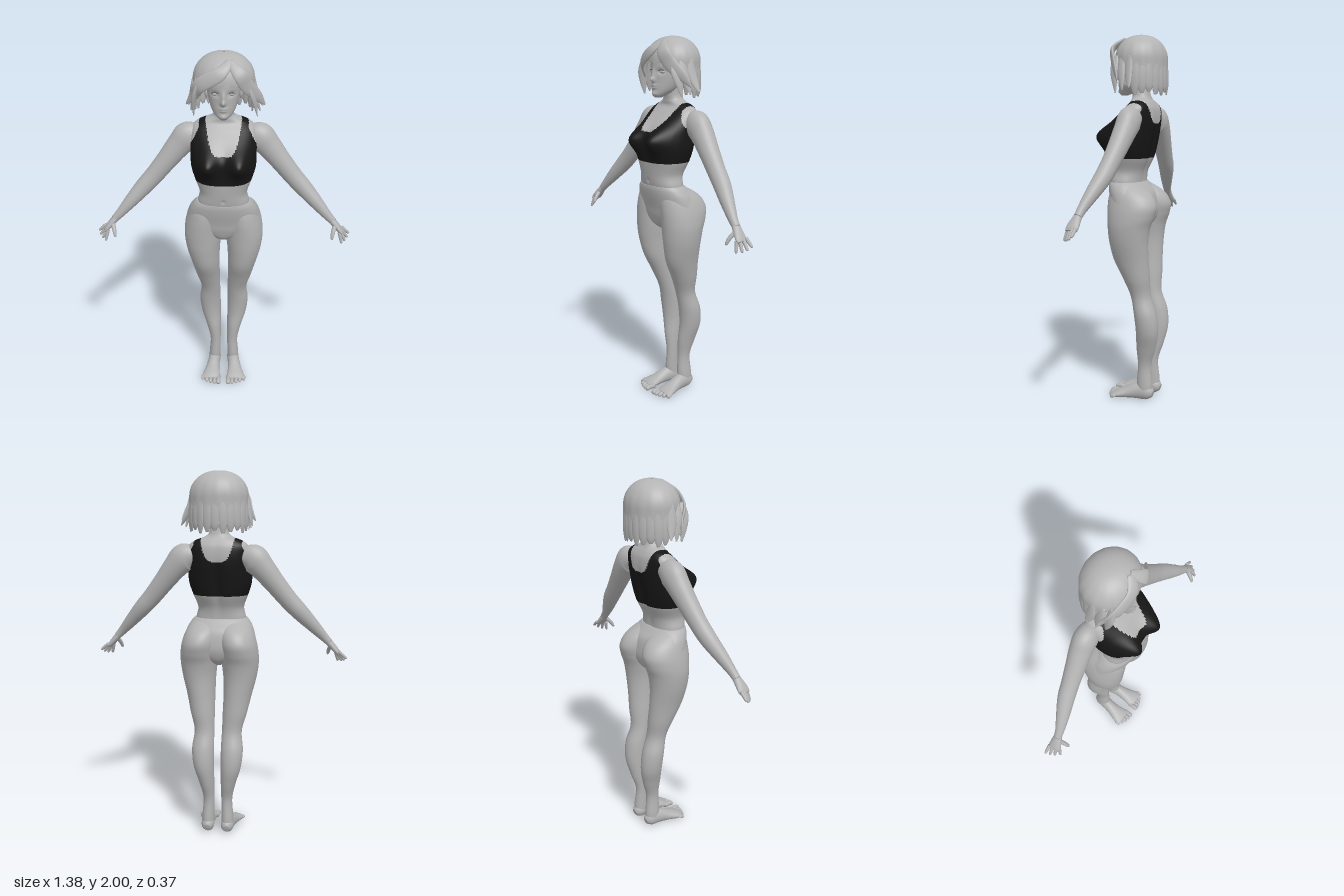
import * as THREE from 'three';

const mat = (name, color) => Object.assign(new THREE.MeshStandardMaterial({ color }), { name });

// Catmull-Rom resampling of sections with any number of channels
function resample(rows, n) {
  const out = [], last = rows.length - 1;
  for (let k = 0; k <= n; k++) {
    const f = (k / n) * last, i = Math.min(Math.floor(f), last - 1), t = f - i;
    const at = (j) => rows[Math.max(0, Math.min(last, j))];
    const [a, b, c, d] = [at(i - 1), at(i), at(i + 1), at(i + 2)];
    out.push(b.map((p, q) => p + 0.5 * t * (c[q] - a[q]
      + t * (2 * a[q] - 5 * p + 4 * c[q] - d[q] + t * (3 * (p - c[q]) + d[q] - a[q])))));
  }
  return out;
}

// Smooth skin over closed rings; pick() chooses a material per quad
function skin(rings, caps = true, pick = null) {
  const m = rings[0].length, n = rings.length, pos = rings.flat(), lists = [[], []];
  for (let i = 0; i < n - 1; i++) for (let j = 0; j < m; j++) {
    const a = i * m + j, b = i * m + (j + 1) % m, c = b + m, d = a + m;
    const mid = [0, 1, 2].map((q) => (pos[a][q] + pos[b][q] + pos[c][q] + pos[d][q]) / 4);
    lists[pick && pick(mid) ? 1 : 0].push(a, b, c, a, c, d);
  }
  if (caps) for (const [row, flip] of [[0, true], [n - 1, false]]) {
    const centre = [0, 1, 2].map((q) => rings[row].reduce((s, p) => s + p[q], 0) / m);
    const k = pos.push(centre) - 1;
    for (let j = 0; j < m; j++) {
      const a = row * m + j, b = row * m + (j + 1) % m;
      lists[0].push(k, flip ? b : a, flip ? a : b);
    }
  }
  const g = new THREE.BufferGeometry();
  g.setAttribute('position', new THREE.Float32BufferAttribute(pos.flat(), 3));
  g.setIndex([...lists[0], ...lists[1]]);
  if (pick) {
    g.addGroup(0, lists[0].length, 0);
    g.addGroup(lists[0].length, lists[1].length, 1);
  }
  g.computeVertexNormals();
  return g;
}

// Horizontal rings [y, cx, cz, rx, rz], bottom to top.
// Bumps [x, y, amount, sx, sy, side] push the front (1) or back (-1).
function loft(sections, { n = 60, m = 48, p = 2, bumps = [], pick = null } = {}) {
  const pow = (v) => Math.sign(v) * Math.abs(v) ** (2 / p);
  return skin(resample(sections, n).map(([y, cx, cz, rx, rz]) =>
    Array.from({ length: m }, (_, j) => {
      const a = (j / m) * Math.PI * 2, x = cx + rx * pow(Math.sin(a));
      let z = cz + rz * pow(Math.cos(a));
      for (const [bx, by, amp, sx, sy, side] of bumps) {
        const w = Math.min(1, Math.max(0, side * Math.cos(a)) * 2);
        z += side * amp * w * Math.exp(-(((x - bx) / sx) ** 2) - ((y - by) / sy) ** 2);
      }
      return [x, y, z];
    })), true, pick);
}

// Tapered tube through [x, y, z, ra, rb]; ra lies along ref, rb across it
function limb(points, ref = [0, 0, 1], n = 24, m = 20) {
  const pts = resample(points, n), v = pts.map((q) => new THREE.Vector3(q[0], q[1], q[2]));
  return skin(pts.map((q, i) => {
    const t = v[Math.min(n, i + 1)].clone().sub(v[Math.max(0, i - 1)]).normalize();
    const u = new THREE.Vector3(...ref).projectOnPlane(t).normalize();
    const b = t.clone().cross(u);
    return Array.from({ length: m }, (_, j) => {
      const a = (j / m) * Math.PI * 2;
      return v[i].clone().addScaledVector(u, q[3] * Math.cos(a)).addScaledVector(b, q[4] * Math.sin(a)).toArray();
    });
  }));
}

// Black top: band, scooped neckline and shoulder straps
function inTop([x, y, z]) {
  const ax = Math.abs(x);
  if (y < 1.35 || y > 1.668) return false;
  const outer = 0.128 + Math.max(0, 1.62 - y) * 0.5;
  const scoop = (z > -0.05 ? 1.51 : 1.535) + 0.13 * (ax / 0.092) ** 4;
  return ax < outer && y < scoop;
}

export function createModel() {
  const model = new THREE.Group();
  model.name = 'figure';
  const body = mat('body grey', 0xb2b2b2), black = mat('top black', 0x161616), dark = mat('lash grey', 0x4a4a4a);
  const hair = mat('hair grey', 0xb4b4b4);
  hair.side = THREE.DoubleSide;
  const add = (name, geo, material = body) => {
    const mesh = new THREE.Mesh(geo, material);
    mesh.name = name;
    model.add(mesh);
    return mesh;
  };
  const ball = (name, x, y, z, sx, sy, sz) => {
    const mesh = add(name, new THREE.SphereGeometry(1, 20, 14));
    mesh.position.set(x, y, z);
    mesh.scale.set(sx, sy, sz);
  };

  // Torso and neck, with the top as its own faces
  add('torsoAndTop', loft([
    [1.17, 0, 0.02, 0.125, 0.08], [1.22, 0, 0.03, 0.136, 0.087], [1.28, 0, 0.03, 0.126, 0.097],
    [1.35, 0, 0.017, 0.15, 0.116], [1.42, 0, 0.005, 0.17, 0.12], [1.5, 0, -0.01, 0.172, 0.12],
    [1.56, 0, -0.03, 0.17, 0.105], [1.61, 0, -0.05, 0.162, 0.08], [1.64, 0, -0.057, 0.13, 0.06],
    [1.665, 0, -0.05, 0.07, 0.051], [1.69, 0, -0.045, 0.05, 0.047], [1.75, 0, -0.035, 0.046, 0.045],
    [1.8, 0, -0.03, 0.045, 0.045],
  ], {
    n: 180, m: 144, p: 2.3, pick: inTop,
    bumps: [[0.085, 1.465, 0.078, 0.062, 0.068, 1], [-0.085, 1.465, 0.078, 0.062, 0.068, 1],
      [0, 1.25, -0.007, 0.008, 0.01, 1], [0, 1.4, -0.012, 0.025, 0.14, -1]],
  }), [body, black]);

  // Pelvis
  add('pelvis', loft([
    [0.97, 0, -0.02, 0.02, 0.05], [1, 0, -0.02, 0.08, 0.09], [1.05, 0, -0.02, 0.17, 0.11],
    [1.1, 0, -0.015, 0.195, 0.115], [1.16, 0, 0, 0.184, 0.115], [1.2, 0, 0.02, 0.163, 0.102],
    [1.222, 0, 0.03, 0.143, 0.092],
  ], { p: 2.2 }));

  // Head with brow, nose, lips and eye sockets
  add('head', loft([
    [1.685, 0, 0.053, 0.016, 0.018], [1.7, 0, 0.04, 0.036, 0.043], [1.73, 0, 0.015, 0.06, 0.068],
    [1.78, 0, -0.005, 0.077, 0.087], [1.84, 0, -0.02, 0.087, 0.104], [1.9, 0, -0.035, 0.088, 0.113],
    [1.95, 0, -0.045, 0.07, 0.09], [1.98, 0, -0.05, 0.03, 0.04],
  ], {
    n: 90, m: 96,
    bumps: [[0, 1.778, 0.022, 0.012, 0.015, 1], [0, 1.805, 0.012, 0.011, 0.025, 1],
      [0, 1.749, 0.008, 0.02, 0.007, 1], [0, 1.736, 0.007, 0.017, 0.006, 1], [0, 1.705, 0.006, 0.02, 0.012, 1],
      [0.04, 1.82, -0.011, 0.02, 0.014, 1], [-0.04, 1.82, -0.011, 0.02, 0.014, 1]],
  }));

  for (const s of [1, -1]) {
    const side = s > 0 ? 'left' : 'right';
    const mirror = (pts) => pts.map(([x, ...rest]) => [x * s, ...rest]);

    // Eyes, lashes and ears
    ball(side + 'Eye', s * 0.04, 1.819, 0.056, 0.018, 0.01, 0.014);
    add(side + 'Lash', limb(mirror([[0.022, 1.821, 0.07, 0.002, 0.001], [0.04, 1.829, 0.071, 0.003, 0.002],
      [0.06, 1.823, 0.061, 0.002, 0.001]]), [0, 0, 1], 10, 6), dark);
    ball(side + 'Ear', s * 0.087, 1.8, -0.025, 0.01, 0.03, 0.018);

    // Leg
    add(side + 'Leg', loft([
      [0.03, 0.055, -0.097, 0.034, 0.038], [0.09, 0.055, -0.09, 0.034, 0.044], [0.2, 0.051, -0.088, 0.031, 0.038],
      [0.3, 0.061, -0.1, 0.042, 0.054], [0.4, 0.076, -0.112, 0.056, 0.062], [0.5, 0.081, -0.103, 0.061, 0.062],
      [0.6, 0.077, -0.076, 0.055, 0.056], [0.7, 0.09, -0.055, 0.067, 0.075], [0.8, 0.102, -0.03, 0.078, 0.097],
      [0.9, 0.113, -0.02, 0.092, 0.108], [0.98, 0.114, -0.022, 0.102, 0.118], [1.04, 0.111, -0.031, 0.103, 0.131],
      [1.1, 0.103, -0.035, 0.1, 0.137], [1.16, 0.091, -0.02, 0.09, 0.117], [1.21, 0.075, 0.01, 0.068, 0.065],
      [1.225, 0.07, 0.02, 0.03, 0.03],
    ].map(([y, x, ...r]) => [y, x * s, ...r]), { n: 100 }));

    // Foot and toes
    add(side + 'Foot', limb(mirror([
      [0.055, 0.035, -0.138, 0.02, 0.018], [0.055, 0.042, -0.115, 0.04, 0.034], [0.057, 0.047, -0.08, 0.046, 0.036],
      [0.062, 0.044, -0.04, 0.042, 0.036], [0.068, 0.033, 0.01, 0.031, 0.042], [0.074, 0.023, 0.06, 0.021, 0.053],
      [0.075, 0.017, 0.088, 0.013, 0.052],
    ]), [0, 1, 0], 30, 28));
    for (let i = 0; i < 5; i++) {
      const x = 0.03 + i * 0.0235, r = i ? 0.0105 : 0.014, z = 0.123 - i * i * 0.0022;
      add(side + 'Toe', limb(mirror([[x, 0.018, 0.065, r, r], [x, 0.02, z - 0.02, r, r],
        [x, 0.014, z - 0.005, r * 0.9, r], [x, 0.011, z + 0.002, r * 0.4, r * 0.5]]), [0, 1, 0], 12, 12));
    }

    // Arm
    add(side + 'Arm', limb(mirror([
      [0.13, 1.565, -0.06, 0.045, 0.05], [0.185, 1.55, -0.058, 0.06, 0.076], [0.235, 1.5, -0.055, 0.058, 0.066],
      [0.3, 1.42, -0.045, 0.052, 0.056], [0.37, 1.335, -0.033, 0.046, 0.05], [0.43, 1.27, -0.02, 0.044, 0.046],
      [0.5, 1.195, 0.005, 0.035, 0.036], [0.56, 1.13, 0.025, 0.024, 0.025], [0.592, 1.097, 0.031, 0.021, 0.02],
    ]), [0, 0, 1], 48, 32));

    // Hand with four fingers and a thumb
    add(side + 'Palm', limb(mirror([[0.582, 1.107, 0.03, 0.02, 0.019], [0.608, 1.078, 0.035, 0.028, 0.018],
      [0.632, 1.05, 0.039, 0.034, 0.015], [0.645, 1.035, 0.04, 0.031, 0.01]])));
    for (let i = 0; i < 4; i++) {
      const k = i / 3, lerp = THREE.MathUtils.lerp, tuck = Math.sin(k * Math.PI) * 0.006;
      const a = [lerp(0.645, 0.628, k), lerp(1.05, 1.042, k), lerp(0.015, 0.063, k)];
      const b = [lerp(0.688, 0.643, k) + tuck, lerp(1.013, 0.985, k) - tuck, lerp(0.014, 0.078, k)];
      const at = (t, r) => [...a.map((q, j) => lerp(q, b[j], t)), r, r];
      add(side + 'Finger', limb(mirror([at(0, 0.01), at(0.5, 0.009), at(0.9, 0.007), at(1, 0.003)]), [0, 0, 1], 10, 10));
    }
    add(side + 'Thumb', limb(mirror([[0.603, 1.08, 0.045, 0.012, 0.013], [0.592, 1.05, 0.075, 0.011, 0.011],
      [0.587, 1.025, 0.09, 0.008, 0.008], [0.586, 1.016, 0.093, 0.003, 0.003]]), [1, 0, 0], 12, 10));

    // Swept fringe and face-framing strands, longer on the left
    const w = s > 0 ? 0.02 : 0;
    add(side + 'Fringe', limb([[0.03, 1.975, 0.04, 0.01, 0.02], [0.03 + s * 0.05, 1.925, 0.085, 0.012, 0.035],
      [s * 0.115, 1.865, 0.07, 0.01, 0.036], [s * (0.15 + w), 1.8, 0.03, 0.008, 0.026],
      [s * (0.188 + w), 1.745, 0.0, 0.002, 0.004]], [s * 0.4, 0.2, 1]), hair);
    for (let i = 0; i < 3; i++) {
      const z = 0.05 - i * 0.045;
      add(side + 'SideStrand', limb(mirror([[0.115 + i * 0.014, 1.885, z, 0.01, 0.02], [0.14 + i * 0.008, 1.82, z, 0.011, 0.026],
        [0.148 + w / 2 + i * 0.01, 1.76, z - 0.01, 0.008, 0.02], [0.15 + w + i * 0.015, 1.695 + i * 0.012, z - 0.02, 0.002, 0.004]]),
      [1, 0, 0.3], 16, 12), hair);
    }
  }

  // Hair cap: a dome that stops at the forehead and falls low behind
  const rings = [];
  for (let i = 0; i <= 40; i++) {
    const v = i / 40, phi = Math.max(0, v - 0.5) * Math.PI * 0.985;
    rings.push(Array.from({ length: 96 }, (_, j) => {
      const a = (j / 96) * Math.PI * 2, c = Math.cos(a);
      const edge = THREE.MathUtils.lerp(1.735, 1.867, THREE.MathUtils.smoothstep(c, 0.2, 0.6));
      const y = v < 0.5 ? THREE.MathUtils.lerp(edge, 1.87, v * 2) : 1.87 + 0.13 * Math.sin(phi);
      const r = Math.cos(phi) ** 0.9 * (1 + 0.012 * Math.sin(16 * a) * (1 - v));
      return [r * 0.155 * Math.sin(a), y, -0.045 + r * 0.138 * c];
    }));
  }
  add('hairCap', skin(rings, false), hair);

  // Hanging locks around the back
  for (let i = 0; i < 11; i++) {
    const a = Math.PI * (0.56 + i * 0.088), sx = Math.sin(a), cz = Math.cos(a);
    const at = (y, k, ra, rb) => [sx * 0.15 * k, y, -0.045 + cz * 0.132 * k, ra, rb];
    add('backLock', limb([at(1.86, 0.98, 0.006, 0.02), at(1.79, 1, 0.01, 0.026), at(1.73, 1, 0.009, 0.022),
      at(1.685 + (i % 3) * 0.008, 0.99, 0.003, 0.008)], [sx, 0, cz], 14, 12), hair);
  }
  return model;
}
